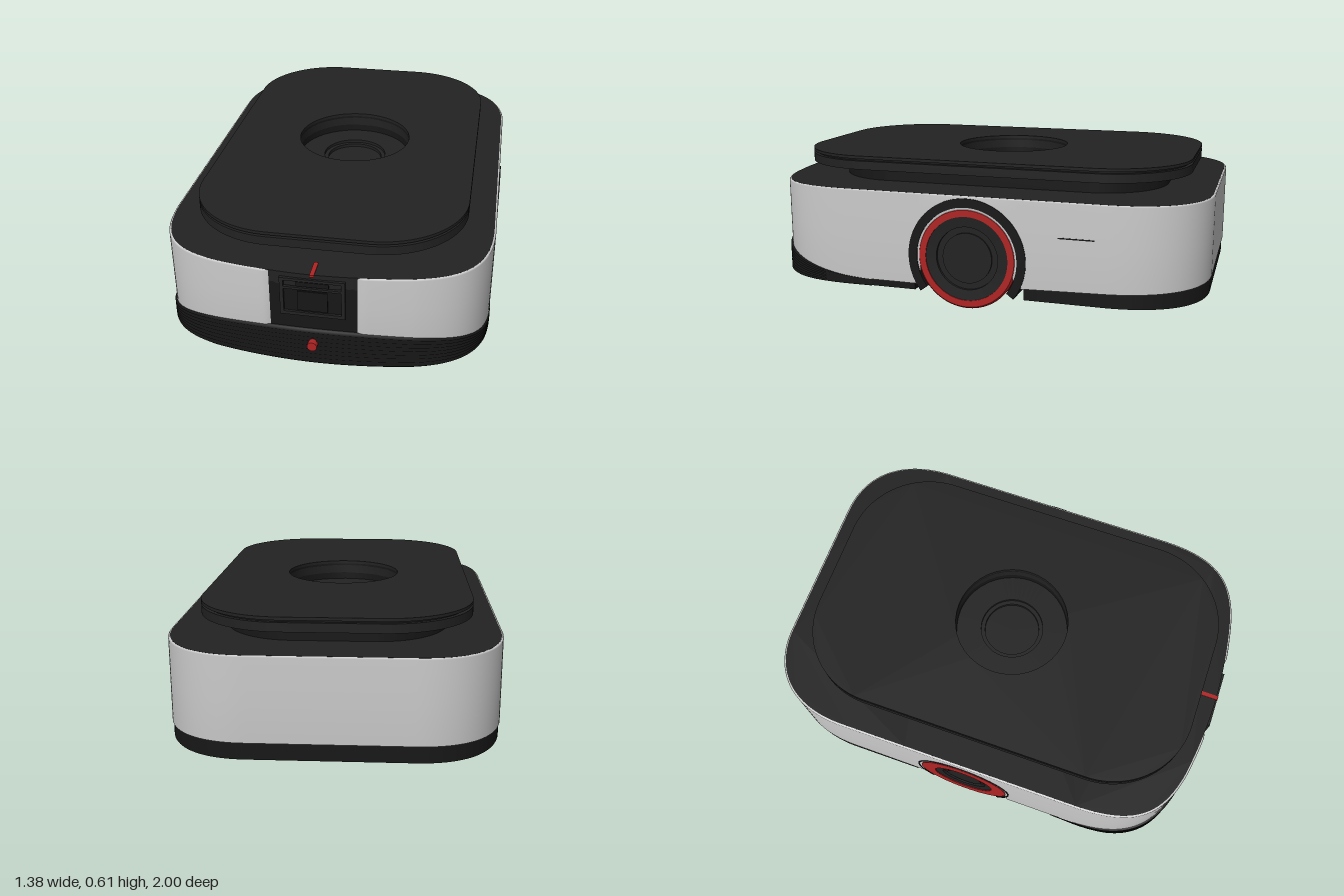
import * as THREE from 'three';
import { toCreasedNormals } from 'three/addons/utils/BufferGeometryUtils.js';

const black = new THREE.MeshStandardMaterial({ name: 'charcoal', color: 0x222222 });
const dark = new THREE.MeshStandardMaterial({ name: 'bumper black', color: 0x171717, side: THREE.DoubleSide });
const white = new THREE.MeshStandardMaterial({ name: 'shell white', color: 0xcacaca, side: THREE.DoubleSide });
const red = new THREE.MeshStandardMaterial({ name: 'accent red', color: 0xb02424 });

const WHEEL_Y = 0.216, WHEEL_Z = -0.025;

function add(parent, name, geometry, material, x = 0, y = 0, z = 0) {
  const mesh = new THREE.Mesh(geometry, material);
  mesh.name = name;
  mesh.position.set(x, y, z);
  parent.add(mesh);
  return mesh;
}

// Footprint: half outline in (x, z) from front centre round to back centre, then mirrored
function footprint() {
  const path = new THREE.Path();
  path.moveTo(0, 0.97);
  path.bezierCurveTo(0.1, 0.97, 0.25, 0.96, 0.4, 0.93);
  path.bezierCurveTo(0.6, 0.88, 0.688, 0.78, 0.688, 0.5);
  path.lineTo(0.688, -0.6);
  path.bezierCurveTo(0.688, -0.83, 0.57, -1, 0.33, -1);
  path.lineTo(0, -1);
  const n = 150, half = [];
  for (let i = 0; i <= n; i++) {
    const p = path.getPointAt(i / n), t = path.getTangentAt(i / n);
    half.push({ x: p.x, z: p.y, nx: -t.y, nz: t.x });
  }
  const mirrored = half.slice(1, -1).reverse().map(p => ({ ...p, x: -p.x, nx: -p.nx }));
  return [...half, ...mirrored];
}

// Wall skin: each column of the outline gets a list of [offset, y] from bottom to top
function skin(columns, rowsAt) {
  const pos = [], index = [];
  let rows = 0;
  columns.forEach(c => {
    const list = rowsAt(c);
    rows = list.length;
    list.forEach(([off, y]) => pos.push(c.x + c.nx * off, y, c.z + c.nz * off));
  });
  for (let i = 0; i < columns.length - 1; i++) {
    for (let j = 0; j < rows - 1; j++) {
      const a = i * rows + j, b = a + rows;
      index.push(a, b, b + 1, a, b + 1, a + 1);
    }
  }
  const g = new THREE.BufferGeometry();
  g.setAttribute('position', new THREE.Float32BufferAttribute(pos, 3));
  g.setIndex(index);
  g.computeVertexNormals();
  return g;
}

// Horizontal slab from a shape drawn in (x, -z)
function slab(shape, y0, y1) {
  const g = new THREE.ExtrudeGeometry(shape, { depth: y1 - y0, bevelEnabled: false, curveSegments: 20 });
  g.rotateX(-Math.PI / 2);
  g.translate(0, y0, 0);
  return toCreasedNormals(g, 0.5);
}

const outlineShape = (points, inset) =>
  new THREE.Shape(points.map(p => new THREE.Vector2(p.x - p.nx * inset, -(p.z - p.nz * inset))));

function roundedRect(hw, hd, r, cz, holeR) {
  const s = new THREE.Shape();
  const x = hw - r, y = hd - r, c = -cz;
  s.absarc(x, c + y, r, 0, Math.PI / 2);
  s.absarc(-x, c + y, r, Math.PI / 2, Math.PI);
  s.absarc(-x, c - y, r, Math.PI, Math.PI * 1.5);
  s.absarc(x, c - y, r, Math.PI * 1.5, Math.PI * 2);
  const hole = new THREE.Path();
  hole.absarc(0, -WHEEL_Z, holeR, 0, Math.PI * 2, true);
  s.holes.push(hole);
  return s;
}

const lathe = pts => toCreasedNormals(
  new THREE.LatheGeometry(pts.map(([r, y]) => new THREE.Vector2(r, y)), 56), 0.5);

// Lower edge of the white shell, sweeping up towards the front
function shellBottom(z) {
  if (z < 0) return 0.1 + 0.03 * Math.min(1, -z);
  return 0.09 + 0.135 * Math.pow(Math.max(0, (z - 0.4) / 0.57), 2);
}

function createWheel(side) {
  const g = new THREE.Group();
  g.name = side > 0 ? 'leftWheel' : 'rightWheel';
  const hubR = side > 0 ? 0.18 : 0.14;
  const turn = geo => geo.rotateZ(-side * Math.PI / 2);
  add(g, 'tyre', turn(lathe([[0, 0], [0.208, 0], [0.216, 0.008], [0.216, 0.17], [0.208, 0.18],
    [hubR, 0.18], [hubR, 0.15], [0, 0.15]])), red);
  const k = hubR / 0.18;
  add(g, 'hub', turn(lathe([[hubR, 0.151], [hubR, 0.176], [0.135 * k, 0.172], [0.135 * k, 0.16],
    [0.108 * k, 0.16], [0.108 * k, 0.168], [0, 0.168]])), black);

  // arch lining round the wheel, open at the underside
  const outer = side > 0 ? 0.257 : 0.226;
  const cut = Math.asin(0.155 / outer);
  const arch = new THREE.Shape();
  arch.absarc(0, 0, outer, -cut, Math.PI + cut, false);
  arch.absarc(0, 0, 0.219, Math.PI + cut, -cut, true);
  const archGeo = new THREE.ExtrudeGeometry(arch, { depth: 0.18, bevelEnabled: false, curveSegments: 48 });
  archGeo.rotateY(Math.PI / 2);
  archGeo.translate(side > 0 ? 0.002 : -0.18, 0, 0);
  add(g, 'wheelArch', toCreasedNormals(archGeo, 0.5), dark);
  g.position.set(side * 0.51, WHEEL_Y, WHEEL_Z);
  return g;
}

function createFrontPanel() {
  const g = new THREE.Group();
  g.name = 'frontPanel';
  const frame = new THREE.Shape([[-0.13, 0.29], [0.13, 0.29], [0.13, 0.462], [-0.13, 0.462]]
    .map(p => new THREE.Vector2(...p)));
  [[0.305, 0.412], [0.422, 0.45]].forEach(([a, b]) => frame.holes.push(new THREE.Path(
    [[-0.115, a], [-0.115, b], [0.115, b], [0.115, a]].map(p => new THREE.Vector2(...p)))));
  add(g, 'panelFrame', new THREE.ExtrudeGeometry(frame, { depth: 0.018, bevelEnabled: false }), black, 0, 0, 0.952);
  add(g, 'sensorWindow', new THREE.BoxGeometry(0.12, 0.09, 0.008), dark, 0, 0.358, 0.963);
  add(g, 'sensorSlot', new THREE.BoxGeometry(0.13, 0.02, 0.008), dark, 0, 0.436, 0.963);
  return g;
}

export function createModel() {
  const model = new THREE.Group();
  model.name = 'transportRobot';
  const loop = footprint();
  const ring = [...loop, loop[0]];

  // Dark body: two lower halves with the wheel channel between, and a deck above
  add(model, 'frontChassis', slab(outlineShape(loop.filter(p => p.z > 0.21), 0.008), 0.06, 0.43), dark);
  add(model, 'rearChassis', slab(outlineShape(loop.filter(p => p.z < -0.26), 0.005), 0.06, 0.43), dark);
  add(model, 'deck', slab(outlineShape(loop, 0.008), 0.425, 0.482), black);

  // White shell, open at the front notch and round the wheels
  const gap = loop.findIndex(p => p.x > 0.158);
  const shellCols = loop.slice(gap, loop.length - gap + 1);
  add(model, 'shell', skin(shellCols, c => {
    const dz = Math.abs(c.z - WHEEL_Z);
    let low = shellBottom(c.z);
    if (dz < 0.2 && Math.abs(c.x) > 0.6) low = WHEEL_Y + Math.sqrt(0.04 - dz * dz);
    const curl = c.z > 0.9 ? -0.02 * Math.max(0, 1 - (Math.abs(c.x) - 0.158) / 0.03) : 0;
    return [[curl - 0.008, low - 0.002], [curl, low], [curl, (low + 0.476) / 2], [curl, 0.476],
      [curl - 0.004, 0.481], [curl - 0.01, 0.482]];
  }), white);

  // Ribbed front bumper, fading out along the sides
  const bumperCols = [...loop.filter(p => p.z > 0.4 && p.x < 0).sort((a, b) => loop.indexOf(a) - loop.indexOf(b)),
    ...loop.filter(p => p.z > 0.4 && p.x >= 0)];
  add(model, 'ribbedBumper', skin(bumperCols, c => {
    const top = shellBottom(c.z), fade = Math.min(1, (c.z - 0.4) / 0.3), rows = [[-0.01, 0.06]];
    for (let j = 0; j <= 16; j++) {
      rows.push([-0.003 + fade * (j % 2 ? 0.012 : 0.004), 0.06 + (top - 0.06) * j / 16]);
    }
    return [...rows, [-0.01, top + 0.001]];
  }), dark);

  // Thin seam plate on the left flank
  add(model, 'sideSeam', new THREE.BoxGeometry(0.004, 0.005, 0.15), dark, 0.688, 0.335, -0.49);

  // Load platform: neck, plate, groove and lid round a central well
  const hole = 0.256;
  add(model, 'platformNeck', slab(roundedRect(0.465, 0.757, 0.3, -0.027, hole), 0.48, 0.546), dark);
  add(model, 'platformPlate', slab(roundedRect(0.57, 0.885, 0.37, -0.005, hole), 0.545, 0.583), black);
  add(model, 'platformGroove', slab(roundedRect(0.555, 0.87, 0.36, -0.005, hole), 0.582, 0.592), dark);
  add(model, 'platformLid', slab(roundedRect(0.57, 0.885, 0.37, -0.005, hole), 0.592, 0.605), black);
  add(model, 'wellFloor', lathe([[0.262, 0.515], [0.143, 0.515], [0.143, 0.502], [0.125, 0.502],
    [0.125, 0.488], [0, 0.488]]), black, 0, 0, WHEEL_Z);

  // Front details
  model.add(createFrontPanel());
  add(model, 'redMarker', new THREE.BoxGeometry(0.018, 0.01, 0.092), red, 0, 0.48, 0.923);
  const knob = new THREE.CylinderGeometry(0.02, 0.02, 0.04, 24).rotateX(Math.PI / 2);
  add(model, 'redButton', knob, red, 0, 0.162, 0.98);

  // Wheels
  model.add(createWheel(1), createWheel(-1));
  return model;
}
